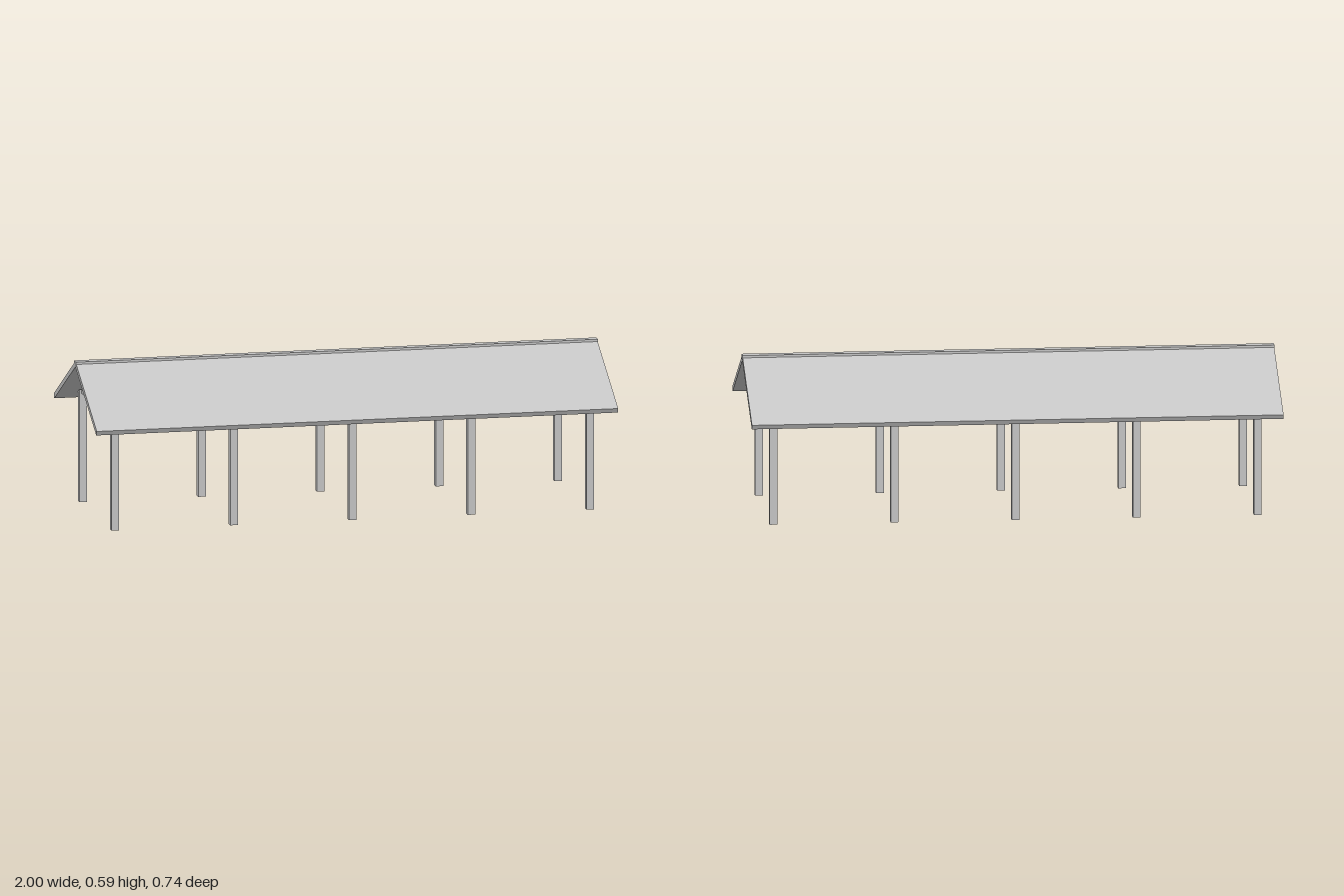
import * as THREE from 'three';

export function createModel() {
  const group = new THREE.Group();
  group.name = 'openShelter';
  const grey = new THREE.MeshStandardMaterial({ color: 0xc4c4c4 });
  grey.name = 'plain grey';

  function add(name, geometry, x, y, z) {
    const mesh = new THREE.Mesh(geometry, grey);
    mesh.name = name;
    mesh.position.set(x, y, z);
    group.add(mesh);
    return mesh;
  }

  // Extrude a cross-section given as [z, y] points along x, centred on x
  function alongX(points, length) {
    const shape = new THREE.Shape(points.map(([z, y]) => new THREE.Vector2(-z, y)));
    return new THREE.ExtrudeGeometry(shape, { depth: length, bevelEnabled: false })
      .translate(0, 0, -length / 2)
      .rotateY(Math.PI / 2);
  }

  // Two rows of five posts, each row carrying a long beam
  const rowZ = 0.276, endX = 0.91, post = 0.029;
  for (const side of [-1, 1]) {
    for (let i = -2; i <= 2; i++) {
      add('post', new THREE.BoxGeometry(post, 0.402, post), (i * endX) / 2, 0.201, side * rowZ);
    }
    add('eaveBeam', alongX([
      [-0.0145, 0.402], [0.0145, 0.402],
      [0.0145, side > 0 ? 0.417 : 0.43], [-0.0145, side > 0 ? 0.43 : 0.417],
    ], 2 * endX + post), 0, 0, side * rowZ);
  }

  // Triangular gable panels over the end posts
  for (const side of [-1, 1]) {
    add('gable', alongX([[-rowZ, 0.415], [rowZ, 0.415], [0, 0.562]], 0.015), side * endX, 0, 0);
  }

  // Two sloping roof slabs meeting at the ridge
  const slope = [[0, 0.57], [0.361, 0.38], [0.37, 0.397], [0, 0.592]];
  add('roofFront', alongX(slope, 1.998), 0, 0, 0);
  add('roofBack', alongX(slope.map(([z, y]) => [-z, y]), 1.998), 0, 0, 0);

  // Flat ridge cap
  add('ridgeCap', new THREE.BoxGeometry(2, 0.017, 0.034), 0, 0.5835, 0);

  return group;
}
